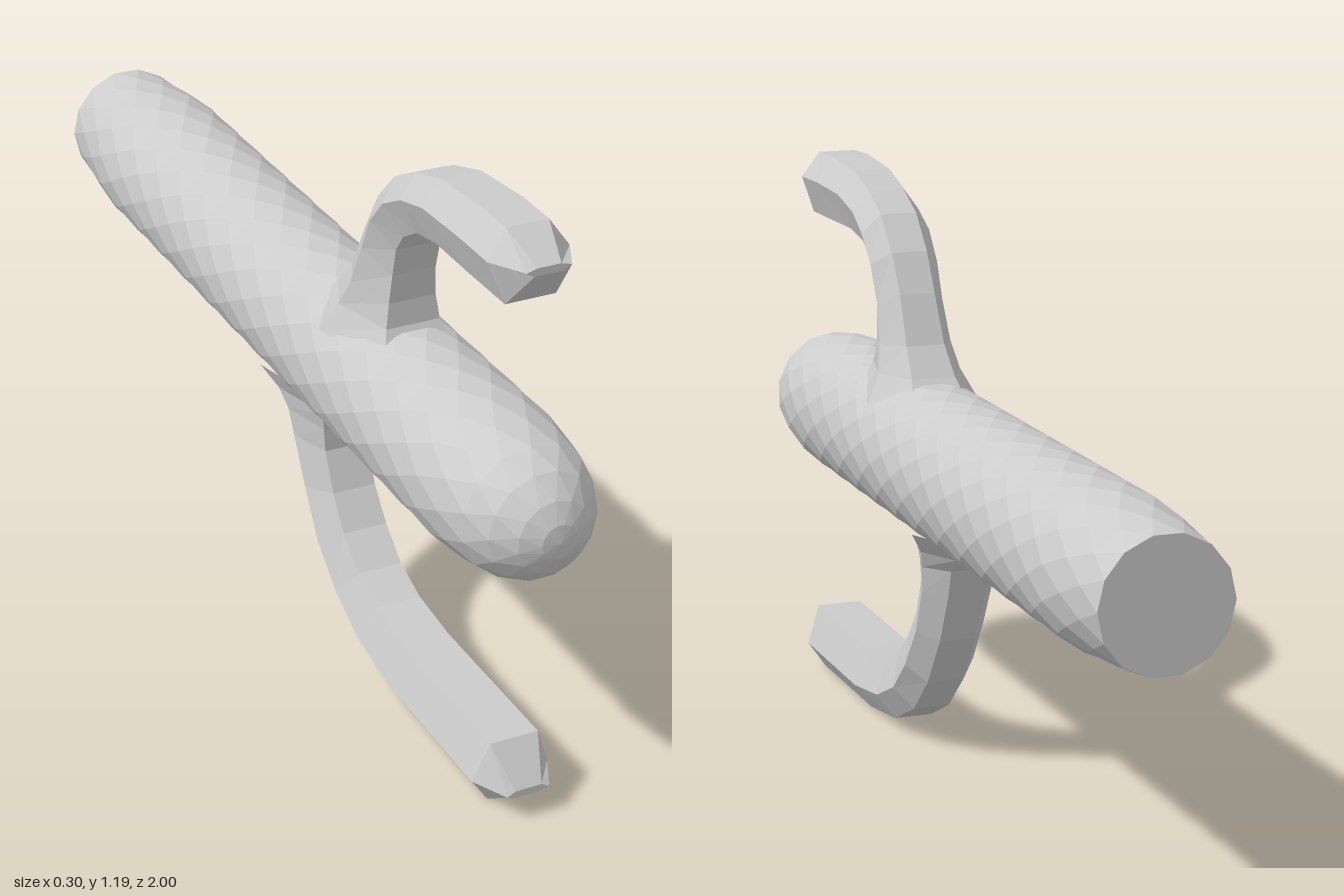
import * as THREE from 'three';

const material = new THREE.MeshStandardMaterial({ color: 0xcccccc, flatShading: true });

function faceted(geometry, name) {
  const flat = geometry.toNonIndexed();
  flat.computeVertexNormals();
  const mesh = new THREE.Mesh(flat, material);
  mesh.name = name;
  return mesh;
}

// Trunk: a lathe whose rows each turn half a step, giving a triangular lattice of facets
function makeTrunk() {
  const sides = 14;
  const profile = [[0, -1], [0.13, -1], [0.137, -0.93], [0.144, -0.86]];
  for (let i = 0; i <= 24; i++) profile.push([0.152, -0.79 + i * 0.0635]);
  profile.push([0.145, 0.81], [0.134, 0.88], [0.11, 0.935], [0.073, 0.975], [0.035, 0.995], [0, 1]);
  const geometry = new THREE.LatheGeometry(profile.map(([r, y]) => new THREE.Vector2(r, y)), sides);
  const pos = geometry.attributes.position;
  for (let i = 0; i < pos.count; i++) {
    const turn = (i % profile.length) * Math.PI / sides;
    const r = Math.hypot(pos.getX(i), pos.getZ(i));
    const phi = Math.atan2(pos.getX(i), pos.getZ(i)) + turn;
    pos.setX(i, r * Math.sin(phi));
    pos.setZ(i, r * Math.cos(phi));
  }
  geometry.rotateX(Math.PI / 2);
  geometry.translate(0, 0.64, 0);
  return faceted(geometry, 'trunk');
}

// Arm: six-sided loft. Each station is [outer z, outer y, inner z, inner y, width scale]
function makeArm(name, stations, up) {
  // [half width, share of the way from inner edge to outer edge], counter-clockwise from the tip
  const ring = [[0.08, 0.6], [0.042, 1], [-0.042, 1], [-0.08, 0.6], [-0.05, 0], [0.05, 0]];
  const n = ring.length, verts = [], index = [];
  for (const [oz, oy, iz, iy, w] of stations) {
    for (const [x, t] of ring) verts.push(x * w * up, iy + (oy - iy) * t, iz + (oz - iz) * t);
  }
  for (let i = 0; i < stations.length - 1; i++) {
    for (let k = 0; k < n; k++) {
      const a = i * n + k, b = i * n + (k + 1) % n;
      index.push(a, b, b + n, a, b + n, a + n);
    }
  }
  // Tip cap
  const end = (stations.length - 1) * n;
  for (let k = 1; k < n - 1; k++) index.push(end, end + k, end + k + 1);
  const geometry = new THREE.BufferGeometry();
  geometry.setAttribute('position', new THREE.Float32BufferAttribute(verts, 3));
  geometry.setIndex(index);
  return faceted(geometry, name);
}

export function createModel() {
  const group = new THREE.Group();
  group.name = 'branchedTrunk';
  group.add(makeTrunk());

  group.add(makeArm('upperArm', [
    [0.14, 0.74, 0.46, 0.74, 1.5],
    [0.2, 0.8, 0.425, 0.8, 1.12],
    [0.25, 0.86, 0.42, 0.85, 0.98],
    [0.3, 0.96, 0.425, 0.91, 0.9],
    [0.35, 1.04, 0.44, 0.97, 0.92],
    [0.42, 1.11, 0.47, 1.01, 0.94],
    [0.5, 1.15, 0.52, 1.04, 0.92],
    [0.6, 1.18, 0.6, 1.055, 0.96],
    [0.75, 1.192, 0.72, 1.055, 1],
    [0.84, 1.19, 0.86, 1.055, 1],
    [0.92, 1.145, 0.92, 1.13, 0.55],
  ], 1));

  group.add(makeArm('lowerArm', [
    [-0.14, 0.53, 0.19, 0.53, 1.5],
    [-0.07, 0.485, 0.155, 0.485, 1.15],
    [-0.025, 0.45, 0.145, 0.44, 1.02],
    [0, 0.39, 0.145, 0.39, 0.95],
    [0.055, 0.28, 0.18, 0.31, 0.92],
    [0.13, 0.17, 0.23, 0.245, 0.95],
    [0.22, 0.085, 0.3, 0.19, 0.93],
    [0.34, 0.027, 0.38, 0.157, 0.96],
    [0.5, 0.004, 0.5, 0.14, 1],
    [0.84, 0, 0.86, 0.14, 1],
    [0.92, 0.05, 0.92, 0.065, 0.55],
  ], -1));
  return group;
}
